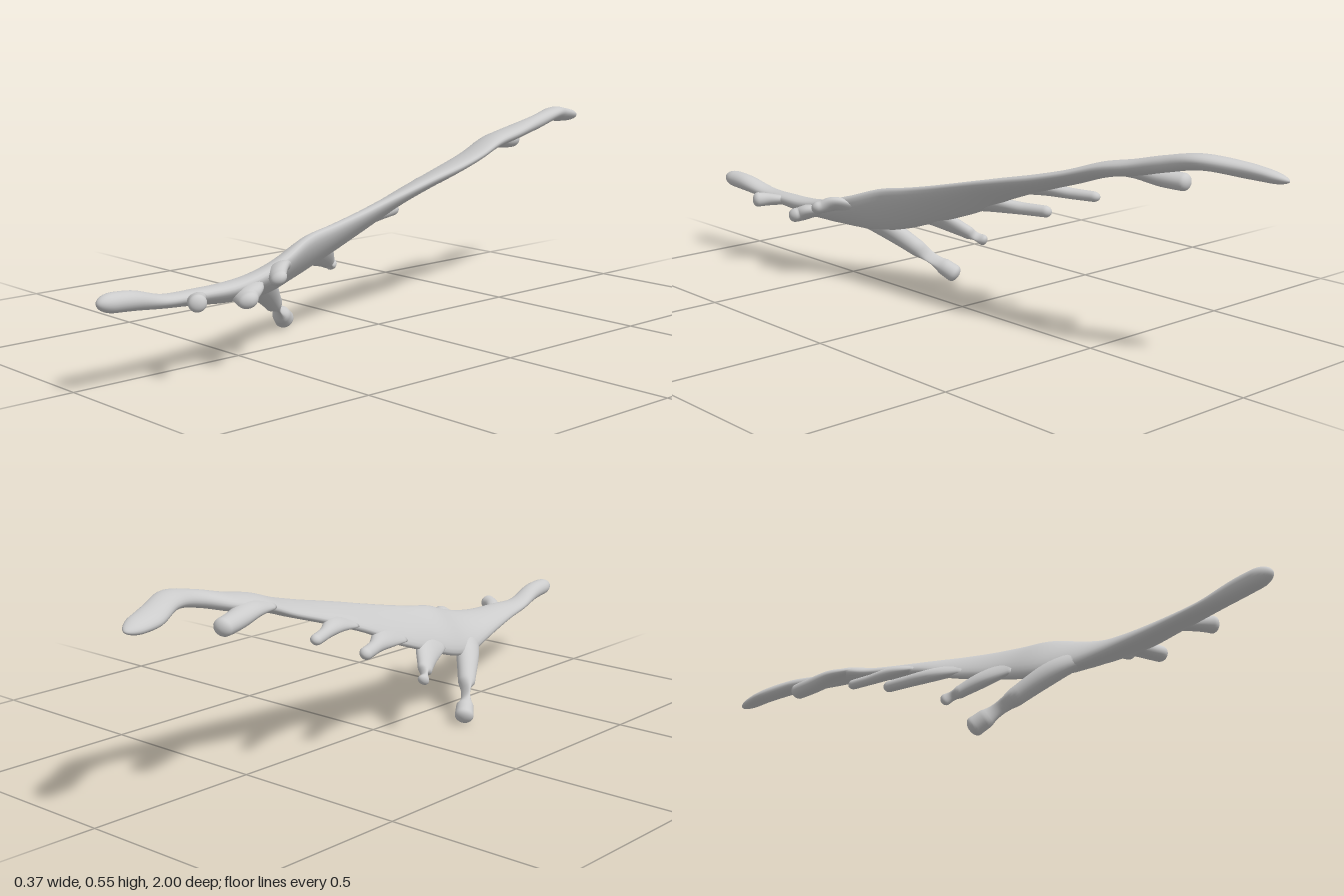
import * as THREE from 'three';

const material = new THREE.MeshStandardMaterial({ color: 0xcccccc, side: THREE.DoubleSide });
const vec = (a) => new THREE.Vector3(a[0], a[1], a[2]);
const SIDES = 24;

// Skin a list of closed rings and close both ends
function skin(rings, name) {
  const pos = [], idx = [], n = SIDES;
  rings.forEach((r) => r.forEach((p) => pos.push(p.x, p.y, p.z)));
  for (let i = 0; i < rings.length - 1; i++) {
    for (let j = 0; j < n; j++) {
      const a = i * n + j, b = i * n + (j + 1) % n;
      idx.push(a, b, a + n, b, b + n, a + n);
    }
  }
  const last = (rings.length - 1) * n;
  for (let j = 1; j < n - 1; j++) {
    idx.push(0, j + 1, j, last, last + j, last + j + 1);
  }
  const g = new THREE.BufferGeometry();
  g.setAttribute('position', new THREE.Float32BufferAttribute(pos, 3));
  g.setIndex(idx);
  g.computeVertexNormals();
  const mesh = new THREE.Mesh(g, material);
  mesh.name = name;
  return mesh;
}

// Ellipse around c spanned by two axes
function ellipse(c, u, v, ru, rv) {
  return Array.from({ length: SIDES }, (_, j) => {
    const a = j / SIDES * Math.PI * 2;
    return c.clone().addScaledVector(u, Math.cos(a) * ru).addScaledVector(v, Math.sin(a) * rv);
  });
}

// Rounded end: 0 at the tip, 1 once the distance exceeds the radius
const round = (d, r) => (d >= r ? 1 : Math.sqrt(Math.max(0.0004, 1 - (1 - d / r) ** 2)));

// Blade: tilted flat ellipses along z [x, y, z, half width, half thickness, tilt]
function blade() {
  const s = [
    [-0.138, 0.506, -1.0, 0.024, 0.013, 0.3],
    [-0.114, 0.519, -0.9, 0.040, 0.020, 0.3],
    [-0.064, 0.532, -0.8, 0.040, 0.021, 0.2],
    [-0.043, 0.515, -0.7, 0.031, 0.022, 0.2],
    [-0.050, 0.490, -0.6, 0.048, 0.022, 0.15],
    [-0.044, 0.470, -0.5, 0.051, 0.021, 0.15],
    [-0.032, 0.437, -0.4, 0.059, 0.019, 0.2],
    [-0.026, 0.408, -0.3, 0.063, 0.020, 0.25],
    [-0.024, 0.380, -0.2, 0.066, 0.021, 0.35],
    [-0.022, 0.350, -0.1, 0.072, 0.022, 0.45],
    [-0.020, 0.315, 0.0, 0.078, 0.024, 0.6],
    [-0.012, 0.285, 0.1, 0.080, 0.026, 0.7],
    [-0.004, 0.258, 0.2, 0.081, 0.028, 0.8],
    [0.004, 0.233, 0.3, 0.086, 0.031, 0.85],
    [0.028, 0.208, 0.4, 0.085, 0.032, 0.72],
    [0.054, 0.198, 0.5, 0.073, 0.030, 0.5],
    [0.072, 0.197, 0.6, 0.059, 0.026, 0.33],
    [0.083, 0.203, 0.7, 0.045, 0.021, 0.25],
    [0.090, 0.209, 0.8, 0.033, 0.018, 0.1],
    [0.107, 0.229, 0.9, 0.030, 0.025, 0.1],
    [0.114, 0.236, 1.0, 0.026, 0.024, 0],
  ];
  const path = new THREE.CatmullRomCurve3(s.map(vec), false, 'catmullrom', 0.5);
  const size = new THREE.CatmullRomCurve3(s.map((q) => vec(q.slice(3))), false, 'catmullrom', 0.5);
  const rings = [], n = 140;
  for (let i = 0; i <= n; i++) {
    const u = (1 - Math.cos(Math.PI * i / n)) / 2;
    const c = path.getPoint(u), k = size.getPoint(u);
    const f = round(1 - Math.abs(c.z), 0.045);
    const across = new THREE.Vector3(Math.cos(k.z), Math.sin(k.z), 0);
    const up = new THREE.Vector3(-Math.sin(k.z), Math.cos(k.z), 0);
    rings.push(ellipse(c, across, up, k.x * f, k.y * f));
  }
  return skin(rings, 'blade');
}

// Limb growing out of the blade: points are [x, y, z, half width, half thickness],
// flat at the root in the tilted plane of the blade, rounded at the tip
function limb(name, tilt, pts) {
  const curve = new THREE.CatmullRomCurve3(pts.map(vec));
  const size = new THREE.CatmullRomCurve3(pts.map((p) => new THREE.Vector3(p[3], p[4], 0)));
  const n = 36, len = curve.getLength(), rings = [];
  const bladeUp = new THREE.Vector3(-Math.sin(tilt), Math.cos(tilt), 0.25);
  for (let i = 0; i <= n; i++) {
    const u = 1 - (1 - i / n) ** 2;
    const c = curve.getPointAt(u), t = curve.getTangentAt(u);
    const up = bladeUp.clone().addScaledVector(t, -bladeUp.dot(t)).normalize();
    const side = t.clone().cross(up);
    const k = size.getPoint(curve.getUtoTmapping(u));
    const f = round((1 - u) * len, 0.018);
    rings.push(ellipse(c, up, side, k.y * f, k.x * f));
  }
  return skin(rings, name);
}

export function createModel() {
  const group = new THREE.Group();
  group.name = 'branch';
  group.add(blade());

  // Long lower limb reaching the ground
  group.add(limb('longLimb', 0.72, [
    [0.02, 0.192, 0.45, 0.045, 0.018], [-0.038, 0.153, 0.38, 0.038, 0.028],
    [-0.098, 0.092, 0.30, 0.025, 0.025], [-0.14, 0.045, 0.24, 0.025, 0.025], [-0.166, 0.017, 0.203, 0.029, 0.027],
  ]));

  // Row of swept-back prongs along the right edge
  [
    [0.75, [[-0.03, 0.234, 0.22, 0.055, 0.013], [-0.078, 0.205, 0.14, 0.036, 0.02], [-0.113, 0.178, 0.09, 0.022, 0.017], [-0.14, 0.157, 0.05, 0.022, 0.017]]],
    [0.55, [[-0.04, 0.29, 0.04, 0.05, 0.012], [-0.084, 0.293, -0.055, 0.034, 0.018], [-0.118, 0.29, -0.13, 0.019, 0.017], [-0.146, 0.289, -0.205, 0.018, 0.016]]],
    [0.32, [[-0.048, 0.363, -0.17, 0.045, 0.011], [-0.085, 0.37, -0.25, 0.03, 0.017], [-0.115, 0.365, -0.32, 0.017, 0.015], [-0.142, 0.363, -0.39, 0.016, 0.014]]],
    [0.15, [[-0.06, 0.465, -0.48, 0.035, 0.012], [-0.088, 0.47, -0.56, 0.036, 0.02], [-0.112, 0.46, -0.63, 0.03, 0.024], [-0.133, 0.454, -0.705, 0.026, 0.023]]],
  ].forEach(([tilt, p], i) => group.add(limb('prong' + (i + 1), tilt, p)));

  // Short knobs on the left edge near the front
  [
    [0.6, [[0.055, 0.219, 0.41, 0.045, 0.015], [0.103, 0.238, 0.45, 0.035, 0.018], [0.135, 0.229, 0.475, 0.024, 0.018], [0.161, 0.225, 0.488, 0.022, 0.017]]],
    [0.2, [[0.08, 0.2, 0.54, 0.05, 0.016], [0.115, 0.198, 0.56, 0.045, 0.021], [0.142, 0.189, 0.58, 0.03, 0.021], [0.17, 0.186, 0.59, 0.024, 0.02]]],
    [0.2, [[0.09, 0.203, 0.7, 0.03, 0.012], [0.12, 0.207, 0.72, 0.025, 0.016], [0.15, 0.209, 0.742, 0.022, 0.02], [0.184, 0.21, 0.76, 0.025, 0.024]]],
  ].forEach(([tilt, p], i) => group.add(limb('knob' + (i + 1), tilt, p)));

  return group;
}
